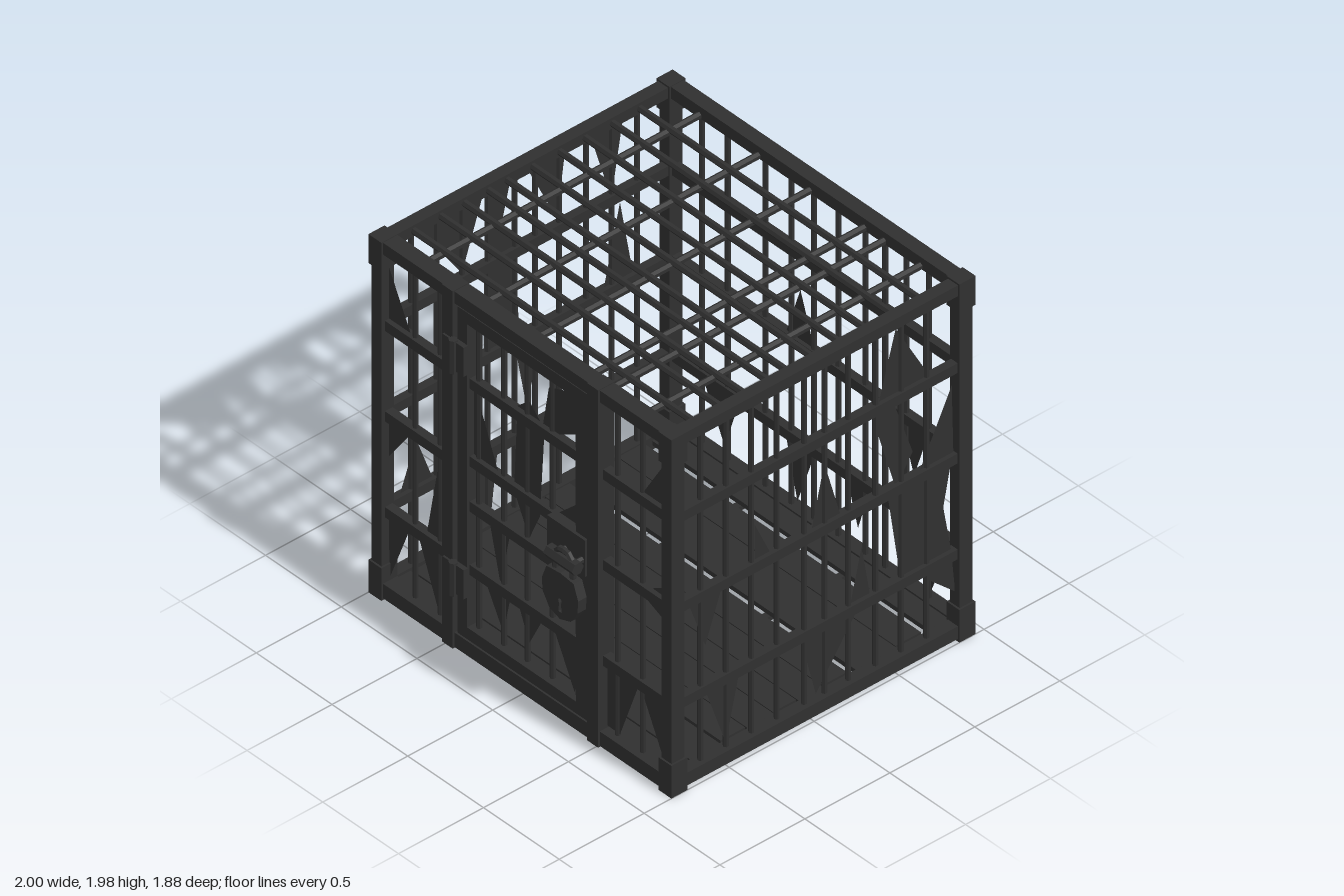
import * as THREE from 'three';

const iron = new THREE.MeshStandardMaterial({ color: 0x303030, flatShading: true, side: THREE.DoubleSide });
iron.name = 'darkIron';

function add(parent, name, geometry) {
  const mesh = new THREE.Mesh(geometry, iron);
  mesh.name = name;
  parent.add(mesh);
  return mesh;
}

// Box given by its lower and upper limits on each axis
function box(parent, name, x0, x1, y0, y1, z0, z1) {
  const m = add(parent, name, new THREE.BoxGeometry(x1 - x0, y1 - y0, z1 - z0));
  m.position.set((x0 + x1) / 2, (y0 + y1) / 2, (z0 + z1) / 2);
  return m;
}

// Round bar between two points
function rod(parent, name, a, b, r = 0.014) {
  const p = new THREE.Vector3(...a), q = new THREE.Vector3(...b);
  const d = q.clone().sub(p);
  const m = add(parent, name, new THREE.CylinderGeometry(r, r, d.length(), 6));
  m.position.copy(p).add(q).multiplyScalar(0.5);
  m.quaternion.setFromUnitVectors(new THREE.Vector3(0, 1, 0), d.normalize());
  return m;
}

// Flat torn plates standing in a wall, as outlines of (across, up) pairs
function shards(parent, name, outlines, place) {
  const wall = new THREE.Group();
  wall.name = name;
  for (const o of outlines) {
    const pts = [];
    for (let i = 0; i < o.length; i += 2) pts.push(new THREE.Vector2(o[i], o[i + 1]));
    add(wall, 'tornPlate', new THREE.ShapeGeometry(new THREE.Shape(pts)));
  }
  place(wall);
  parent.add(wall);
}

export function createModel() {
  const cage = new THREE.Group();
  cage.name = 'cage';
  const group = (name) => {
    const g = new THREE.Group();
    g.name = name;
    cage.add(g);
    return g;
  };
  const railHeights = [0.47, 1.0, 1.5];

  // Outer frame: posts, rails and corner caps
  const frame = group('frame');
  for (const s of [-1, 1]) {
    const x0 = s < 0 ? -0.99 : 0.925, x1 = x0 + 0.065;
    for (const [z0, z1] of [[-0.94, -0.865], [0.755, 0.83]]) {
      box(frame, 'cornerPost', x0, x1, 0.01, 1.97, z0, z1);
      for (const [y0, y1] of [[0, 0.18], [1.82, 1.98]])
        box(frame, 'cornerCap', x0 - 0.01, x1 + 0.01, y0, y1, z0 - 0.01, z1 + 0.01);
    }
    box(frame, 'sideTopRail', x0, x1, 1.91, 1.97, -0.93, 0.82);
    box(frame, 'sideBottomRail', x0, x1, 0.015, 0.085, -0.93, 0.82);
  }
  for (const [y0, y1] of [[1.91, 1.975], [0.01, 0.09]]) {
    box(frame, 'backRail', -0.98, 0.98, y0, y1, -0.94, -0.865);
    box(frame, 'frontRail', -0.98, 0.98, y0, y1, 0.745, 0.83);
  }
  box(frame, 'frontSill', -0.93, 0.93, 0.03, 0.07, 0.66, 0.76);

  // Side walls
  const sides = group('sideWalls');
  for (const s of [-1, 1]) {
    const x = s * 0.955;
    for (const y of railHeights)
      box(sides, 'sideCrossRail', x - 0.022, x + 0.022, y - 0.027, y + 0.027, -0.88, 0.77);
    for (const z of [0.63, 0.48, 0.33, 0.18, 0.02, -0.1, -0.24, -0.4, -0.55, -0.7])
      rod(sides, 'sideBar', [x, 0.05, z], [x, 1.94, z]);
  }

  // Back wall
  const back = group('backWall');
  for (const y of railHeights)
    box(back, 'backCrossRail', -0.94, 0.94, y - 0.027, y + 0.027, -0.925, -0.88);
  for (const x of [-0.75, -0.58, -0.33, -0.16, -0.01, 0.15, 0.33, 0.46, 0.6, 0.75])
    rod(back, 'backBar', [x, 0.05, -0.9], [x, 1.94, -0.9]);

  // Front wall beside the doorway
  const front = group('frontWall');
  for (const s of [-1, 1]) {
    box(front, 'doorPost', s * 0.48 - 0.036, s * 0.48 + 0.036, 0.005, 1.98, 0.745, 0.84);
    for (const y of railHeights)
      box(front, 'frontCrossRail', s < 0 ? -0.94 : 0.5, s < 0 ? -0.5 : 0.94, y - 0.028, y + 0.028, 0.765, 0.81);
    for (const x of [0.585, 0.75])
      rod(front, 'frontBar', [s * x, 0.05, 0.785], [s * x, 1.94, 0.785]);
  }

  // Door: stiles, rails, bars and hinges
  const door = group('door');
  box(door, 'hingeStile', -0.43, -0.365, 0.1, 1.9, 0.765, 0.825);
  box(door, 'lockStile', 0.355, 0.425, 0.1, 1.9, 0.765, 0.825);
  box(door, 'doorTopRail', -0.43, 0.425, 1.835, 1.9, 0.765, 0.825);
  box(door, 'doorBottomRail', -0.43, 0.425, 0.095, 0.16, 0.765, 0.825);
  for (const y of [0.47, 0.82, 1.07, 1.5])
    box(door, 'doorCrossRail', -0.38, 0.38, y - 0.028, y + 0.028, 0.77, 0.81);
  for (const x of [-0.33, -0.165, -0.01, 0.155, 0.325])
    rod(door, 'doorBar', [x, 0.12, 0.785], [x, 1.87, 0.785]);
  for (const y of [0.41, 1.64]) {
    box(door, 'hingePlate', -0.5, -0.36, y - 0.08, y + 0.08, 0.825, 0.85);
    rod(door, 'hingePin', [-0.43, y - 0.09, 0.85], [-0.43, y + 0.09, 0.85], 0.022);
  }

  // Lock plate, staple and padlock
  const lock = group('padlock');
  box(lock, 'lockPlate', 0.18, 0.43, 0.9, 1.1, 0.805, 0.84);
  rod(lock, 'hasp', [0.26, 0.985, 0.9], [0.45, 0.985, 0.9], 0.035);
  for (const x of [0.3, 0.41]) rod(lock, 'staple', [x, 0.985, 0.83], [x, 0.985, 0.91], 0.016);
  const shackle = new THREE.CatmullRomCurve3([
    [-0.055, 0.87], [-0.055, 0.98], [-0.035, 1.03], [0.035, 1.03], [0.055, 0.98], [0.055, 0.87],
  ].map(([x, y]) => new THREE.Vector3(0.36 + x, y, 0.9)));
  add(lock, 'shackle', new THREE.TubeGeometry(shackle, 14, 0.016, 6));
  const body = new THREE.Shape([
    [-0.09, 0.12], [-0.12, 0.04], [-0.115, -0.03], [-0.07, -0.1], [0, -0.125],
    [0.07, -0.1], [0.115, -0.03], [0.12, 0.04], [0.09, 0.12], [0, 0.13],
  ].map(([x, y]) => new THREE.Vector2(x, y)));
  const keyhole = new THREE.Path([
    [0, -0.01], [0.012, -0.02], [0.007, -0.04], [0.01, -0.085], [-0.01, -0.085], [-0.007, -0.04], [-0.012, -0.02],
  ].map(([x, y]) => new THREE.Vector2(x, y)));
  body.holes.push(keyhole);
  add(lock, 'lockBody', new THREE.ExtrudeGeometry(body, { depth: 0.05, bevelEnabled: false }))
    .position.set(0.36, 0.795, 0.875);

  // Roof grid
  const roof = group('roof');
  for (const x of [-0.73, -0.34, 0, 0.36, 0.49, 0.73])
    rod(roof, 'roofLongBar', [x, 1.925, -0.9], [x, 1.925, 0.78], 0.018);
  for (const z of [-0.69, -0.53, -0.37, -0.22, -0.06, 0.09, 0.2, 0.34, 0.48, 0.64])
    rod(roof, 'roofCrossBar', [-0.94, 1.94, z], [0.94, 1.94, z], 0.018);

  // Floor planks with gaps, on two bearers
  const floor = group('floor');
  const edges = [-0.88, -0.75, -0.71, -0.56, -0.555, -0.315, -0.275, -0.13, -0.125, 0.02, 0.025,
    0.16, 0.165, 0.32, 0.325, 0.47, 0.485, 0.66];
  for (let i = 0; i < edges.length; i += 2) {
    const trim = (i % 4) * 0.006;
    box(floor, 'floorPlank', -0.91 - trim, 0.92 - trim, 0.055, 0.08, edges[i], edges[i + 1]);
  }
  for (const x of [-0.34, 0.34]) box(floor, 'floorBearer', x - 0.018, x + 0.018, 0.03, 0.055, -0.88, 0.76);

  // Torn plates caught in the walls
  const torn = group('tornPlates');
  const frontShards = [
    [-0.93, 1.82, -0.93, 1.5, -0.78, 1.52], [0.93, 1.82, 0.75, 1.52, 0.93, 1.5],
    [-0.93, 1.0, -0.76, 1.0, -0.93, 0.76], [0.72, 0.97, 0.93, 0.88, 0.93, 1.1],
    [-0.78, 0.46, -0.93, 0.44, -0.92, 0.1], [-0.74, 0.46, -0.5, 0.46, -0.5, 0.1, -0.6, 0.1],
    [-0.68, 0.46, -0.53, 0.46, -0.53, 1.0, -0.6, 0.9], [-0.63, 1.5, -0.52, 1.5, -0.52, 1.3],
    [0.5, 0.44, 0.72, 0.43, 0.6, 0.1, 0.5, 0.1], [0.73, 0.45, 0.93, 0.45, 0.9, 0.1],
    [-0.37, 1.5, -0.2, 1.08, -0.37, 1.06], [0.13, 1.75, 0.36, 1.84, 0.36, 1.62, 0.08, 1.46],
    [-0.11, 1.5, 0.1, 1.5, 0, 1.6], [-0.08, 1.48, 0.1, 1.48, 0.07, 1.0, 0, 0.84, -0.1, 1.05],
    [0.18, 1.08, 0.36, 1.25, 0.36, 0.85, 0.18, 0.8], [-0.27, 0.82, -0.12, 0.82, -0.19, 0.48],
    [-0.3, 0.46, -0.12, 0.46, -0.17, 0.22], [-0.08, 0.46, 0.1, 0.46, 0, 0.26], [0.15, 0.46, 0.36, 0.46, 0.3, 0.16],
  ];
  const leftShards = [
    [0.31, 1.22, 0.2, 0.98, 0.31, 0.98], [-0.02, 1, -0.2, 1, -0.1, 1.35],
    [-0.37, 1.5, -0.5, 1.5, -0.62, 1.15, -0.52, 1.0], [-0.47, 1, -0.85, 1, -0.8, 0.75, -0.85, 0.47, -0.55, 0.47],
    [-0.85, 1.4, -0.65, 1, -0.86, 1], [0.7, 0.98, 0.5, 0.98, 0.6, 0.7], [0.6, 0.45, 0.4, 0.45, 0.48, 0.1],
    [0.04, 0.45, -0.3, 0.45, -0.05, 0.1], [-0.37, 0.48, -0.25, 0.48, -0.32, 0.78],
    [-0.65, 0.45, -0.85, 0.45, -0.87, 0.25], [-0.42, 1.52, -0.72, 1.52, -0.52, 1.88],
  ];
  const rightShards = [
    [0.6, 1.92, 0.2, 1.92, 0.33, 1.53], [0.17, 1.92, 0.04, 1.92, 0.1, 1.67, 0, 1.5, 0.2, 1.5],
    [-0.05, 1.92, -0.28, 1.92, -0.23, 1.55], [-0.42, 1.92, -0.62, 1.92, -0.55, 1.5],
    [0.2, 1.5, 0.02, 1.5, -0.01, 1.0, 0.2, 1.0], [0.02, 0.98, -0.15, 0.98, -0.05, 0.6],
    [0.7, 0.48, 0.5, 0.48, 0.6, 0.75], [0.3, 0.45, 0.12, 0.45, 0.16, 0.1, 0.31, 0.1],
    [-0.35, 0.45, -0.6, 0.45, -0.5, 0.12], [-0.5, 1.0, -0.68, 1.0, -0.6, 1.45],
  ];
  const backShards = [
    [-0.75, 0.46, -0.5, 0.46, -0.6, 0.15], [-0.2, 0.46, 0, 0.46, -0.12, 0.12], [0.2, 0.46, 0.36, 0.46, 0.28, 0.2],
    [0.6, 0.46, 0.9, 0.46, 0.75, 0.1], [-0.2, 1.0, 0, 1.0, -0.1, 1.3], [0.55, 1.0, 0.75, 1.0, 0.65, 0.7],
  ];
  shards(torn, 'frontTornPlates', frontShards, (w) => { w.position.z = 0.785; });
  shards(torn, 'backTornPlates', backShards, (w) => { w.position.z = -0.9; });
  for (const [name, list, x] of [['left', leftShards, 0.955], ['right', rightShards, -0.955]])
    shards(torn, name + 'TornPlates', list, (w) => { w.rotation.y = -Math.PI / 2; w.position.x = x; });

  return cage;
}
